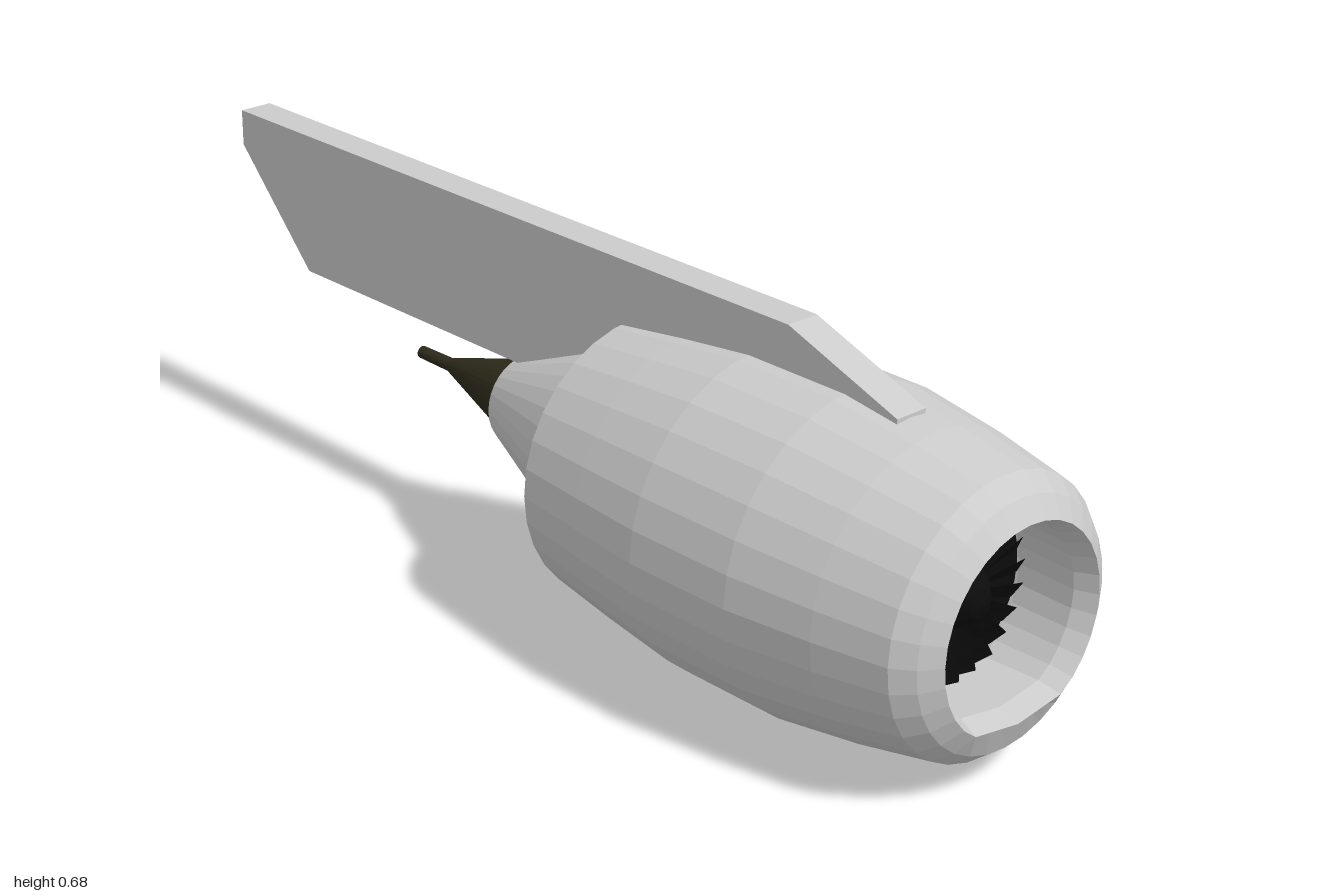
import * as THREE from 'three';

const SIDES = 32;
const material = (color, side = THREE.FrontSide) =>
  new THREE.MeshStandardMaterial({ color, side, flatShading: true });
const grey = material(0xcccccc);
const greyOpen = material(0xcccccc, THREE.DoubleSide);
const olive = material(0x2e2a1c);
const black = material(0x0c0c0c, THREE.DoubleSide);

function add(group, name, geometry, mat, y = 0) {
  const mesh = new THREE.Mesh(geometry, mat);
  mesh.name = name;
  mesh.position.y = y;
  group.add(mesh);
  return mesh;
}

// Revolve [x, radius] pairs (rear to front) around the engine axis
function revolve(profile) {
  const points = profile.map(([x, r]) => new THREE.Vector2(r, x));
  return new THREE.LatheGeometry(points, SIDES).rotateZ(-Math.PI / 2);
}

// Extrude an x-y outline symmetrically about z = 0
function slab(outline, width) {
  const shape = new THREE.Shape(outline.map(([x, y]) => new THREE.Vector2(x, y)));
  return new THREE.ExtrudeGeometry(shape, { depth: width, bevelEnabled: false })
    .translate(0, 0, -width / 2);
}

// Raise the underside of the intake so its lower edge is flattened
function flattenBottom(geometry) {
  const p = geometry.attributes.position;
  for (let i = 0; i < p.count; i++) {
    const y = p.getY(i), z = p.getZ(i), r = Math.hypot(y, z);
    if (r < 0.2) p.setY(i, Math.max(y, -0.905 * r + 0.15 * Math.abs(z)));
  }
  geometry.computeVertexNormals();
  return geometry;
}

export function createModel() {
  const model = new THREE.Group();
  model.name = 'jetEngine';
  const axisY = 0.302, coreY = 0.312;

  // Outer cowling, open at the rear
  add(model, 'nacelle', revolve([
    [0.1, 0.26], [0.25, 0.281], [0.41, 0.3], [0.63, 0.3], [0.8, 0.277], [0.94, 0.25],
  ]), greyOpen, axisY);

  // Rounded lip turning inward into the intake duct
  add(model, 'intakeLip', flattenBottom(revolve([
    [0.94, 0.25], [0.975, 0.222], [1, 0.185], [0.96, 0.169], [0.84, 0.175],
  ])), greyOpen, axisY);

  // Core exhaust cone and tail plug
  add(model, 'coreCowl', revolve([
    [-0.2, 0.07], [-0.2, 0.086], [-0.1, 0.125], [0.1, 0.204], [0.26, 0.258],
  ]), greyOpen, coreY);
  add(model, 'exhaustPlug', revolve([
    [-0.495, 0], [-0.495, 0.012], [-0.41, 0.013], [-0.33, 0.037], [-0.2, 0.076],
  ]), olive, 0.314);

  // Fan: backing disc, twisted blades and spinner
  const fan = new THREE.Group();
  fan.name = 'fan';
  fan.position.set(0.85, 0.306, 0);
  model.add(fan);
  add(fan, 'fanDisc', new THREE.CircleGeometry(0.175, SIDES).rotateY(Math.PI / 2), black)
    .position.x = -0.015;
  const blades = 24;
  for (let i = 0; i < blades; i++) {
    const blade = new THREE.PlaneGeometry(0.036, 0.125, 1, 3);
    const p = blade.attributes.position;
    for (let k = 0; k < p.count; k++) {
      const w = p.getX(k), y = p.getY(k);
      const twist = 0.9 + 2.5 * y;
      p.setXYZ(k, w * Math.cos(twist), y + 0.105, w * Math.sin(twist));
    }
    blade.rotateX((i / blades) * Math.PI * 2);
    add(fan, 'fanBlade', blade, black);
  }
  add(fan, 'spinner', revolve([
    [-0.015, 0.065], [0.01, 0.063], [0.04, 0.045], [0.06, 0.025], [0.068, 0],
  ]), black, 0.009);

  // Mounting pylon above the engine
  add(model, 'pylon', slab([
    [-1, 0.68], [-1, 0.61], [-0.8, 0.4], [0.1, 0.4], [0.4, 0.5],
    [0.745, 0.58], [0.745, 0.592], [0.5, 0.68],
  ], 0.067), grey);

  // Small fairing trailing under the cowling
  add(model, 'lowerFairing', slab([
    [0, 0.073], [0.1, 0.045], [0.4, 0.006], [0.4, 0.03], [0.1, 0.063],
  ], 0.065), grey);

  return model;
}
